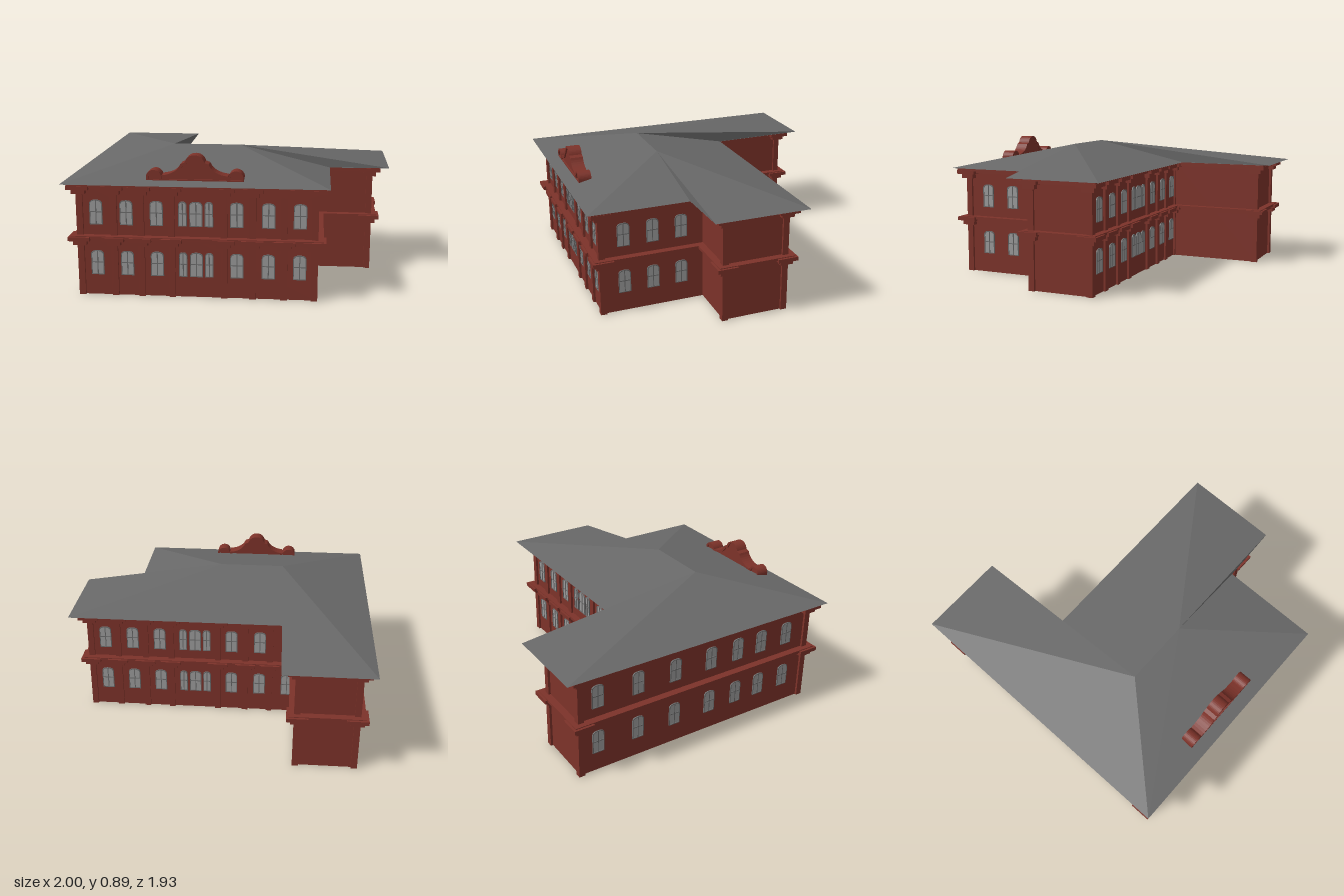
import * as THREE from 'three';

const brick = new THREE.MeshStandardMaterial({ color: 0x7c3229, flatShading: true });
const slate = new THREE.MeshStandardMaterial({ color: 0x686868, flatShading: true, side: THREE.DoubleSide });
const glass = new THREE.MeshStandardMaterial({ color: 0x9a9a9a });
const sash = new THREE.MeshStandardMaterial({ color: 0x6c6c6c });

// Wall footprint [x, z], anticlockwise seen from above, starting at the front
const plan = [[-0.91, 0.87], [0.535, 0.87], [0.535, 0.19], [0.885, 0.19],
  [0.885, -0.225], [-0.53, -0.225], [-0.53, -0.855], [-0.91, -0.855]];

function add(parent, name, geometry, material, x = 0, y = 0, z = 0) {
  const m = new THREE.Mesh(geometry, material);
  m.name = name;
  m.position.set(x, y, z);
  parent.add(m);
  return m;
}

function box(parent, name, w, y0, y1, d, x, z, material = brick) {
  return add(parent, name, new THREE.BoxGeometry(w, y1 - y0, d), material, x, (y0 + y1) / 2, z);
}

// Footprint pushed outwards by d; every edge is axis-aligned
function offsetPlan(d) {
  const n = plan.length;
  return plan.map((p, i) => {
    const a = plan[(i + n - 1) % n], b = plan[(i + 1) % n];
    const out = (s, e) => [-Math.sign(e[1] - s[1]), Math.sign(e[0] - s[0])];
    const u = out(a, p), v = out(p, b);
    return [p[0] + d * (u[0] + v[0]), p[1] + d * (u[1] + v[1])];
  });
}

function slab(parent, name, d, y0, y1) {
  const shape = new THREE.Shape(offsetPlan(d).map(([x, z]) => new THREE.Vector2(x, -z)));
  const g = new THREE.ExtrudeGeometry(shape, { depth: y1 - y0, bevelEnabled: false });
  g.rotateX(-Math.PI / 2);
  return add(parent, name, g, brick, 0, y0, 0);
}

// Window with a shallow arched head, local z = 0 on the wall
function arched(w, h, rise, y = 0, Type = THREE.Shape) {
  const s = new Type();
  s.moveTo(-w / 2, y);
  s.lineTo(w / 2, y);
  s.lineTo(w / 2, y + h - rise);
  s.quadraticCurveTo(w / 2, y + h, 0, y + h);
  s.quadraticCurveTo(-w / 2, y + h, -w / 2, y + h - rise);
  return s;
}

function makeWindow(w) {
  const g = new THREE.Group();
  g.name = 'window';
  const h = 0.155, t = 0.005;
  const opt = depth => ({ depth, bevelEnabled: false, curveSegments: 5 });
  const rim = arched(w, h, 0.025);
  rim.holes.push(arched(w - 2 * t, h - 2 * t, 0.024, t, THREE.Path));
  add(g, 'windowFrame', new THREE.ExtrudeGeometry(rim, opt(0.008)), sash);
  add(g, 'windowPane', new THREE.ExtrudeGeometry(arched(w - t, h - t, 0.025, t / 2), opt(0.003)), glass);
  box(g, 'mullion', 0.006, 0.004, h - 0.003, 0.007, 0, 0.0035, sash);
  box(g, 'transom', w - 0.006, 0.077, 0.083, 0.007, 0, 0.0035, sash);
  return g;
}

// Rows on both floors; local x runs along the wall
function facade(parent, name, turn, x, z, list) {
  const g = new THREE.Group();
  g.name = name;
  for (const y of [0.13, 0.45]) for (const [u, w] of list) {
    const win = makeWindow(w);
    win.position.set(u, y, 0);
    g.add(win);
  }
  g.rotation.y = turn;
  g.position.set(x, 0, z);
  parent.add(g);
}

function pilaster(parent, x, z) {
  const g = new THREE.Group();
  g.name = 'pilaster';
  box(g, 'shaft', 0.04, 0, 0.7, 0.04, 0, 0);
  for (const y of [0.325, 0.645]) {
    box(g, 'capital', 0.085, y, y + 0.03, 0.085, 0, 0);
    box(g, 'capitalPlate', 0.135, y + 0.03, y + 0.055, 0.135, 0, 0);
  }
  g.position.set(x, 0, z);
  parent.add(g);
}

function makeRoof(parent) {
  const e = 0.715, r = 0.86;
  const [A, B, C, D, E, F, G, H] = [[-1, 0.96], [0.615, 0.96], [0.615, 0.305], [1, 0.295],
    [1, -0.33], [-0.42, -0.33], [-0.43, -0.97], [-1, -0.97]].map(([x, z]) => [x, e, z]);
  const P = [-0.405, r, 0.32], Q = [0.03, r, 0.32];
  const tris = [A, B, Q, A, Q, P, B, C, Q, C, D, Q, D, E, Q, E, F, P, E, P, Q, F, G, P, G, H, P, H, A, P];
  const geo = new THREE.BufferGeometry();
  geo.setAttribute('position', new THREE.Float32BufferAttribute(tris.flat(), 3));
  geo.computeVertexNormals();
  add(parent, 'roof', geo, slate);
  // Underside of the eaves
  const s = new THREE.Shape([A, B, C, D, E, F, G, H].map(p => new THREE.Vector2(p[0], -p[2])));
  const under = new THREE.ShapeGeometry(s);
  under.rotateX(-Math.PI / 2);
  add(parent, 'eaves', under, slate, 0, e - 0.001, 0);
}

// Curved gable ornament with a round scroll at each end
function makeGable(parent) {
  const g = new THREE.Group();
  g.name = 'gable';
  const outline = (Type, k) => {
    const s = new Type();
    const X = x => x - Math.sign(x) * k, Y = y => y - k;
    s.moveTo(X(-0.2), k);
    s.lineTo(X(0.2), k);
    s.lineTo(X(0.2), Y(0.035));
    s.quadraticCurveTo(X(0.11), Y(0.045), X(0.085), Y(0.105));
    s.lineTo(X(0.06), Y(0.115));
    s.quadraticCurveTo(X(0.045), Y(0.16), 0, Y(0.16));
    s.quadraticCurveTo(X(-0.045), Y(0.16), X(-0.06), Y(0.115));
    s.lineTo(X(-0.085), Y(0.105));
    s.quadraticCurveTo(X(-0.11), Y(0.045), X(-0.2), Y(0.035));
    return s;
  };
  const arch = (Type, radius, y) => {
    const s = new Type();
    s.moveTo(-radius, y);
    s.lineTo(radius, y);
    s.lineTo(radius, 0.02);
    s.absarc(0, 0.02, radius, 0, Math.PI, false);
    return s;
  };
  const piece = (name, x, shape, hole, panel) => {
    shape.holes.push(hole);
    const opt = depth => ({ depth, bevelEnabled: false, curveSegments: 8 });
    add(g, name, new THREE.ExtrudeGeometry(shape, opt(0.085)), brick, x);
    add(g, name + 'Panel', new THREE.ExtrudeGeometry(panel, opt(0.065)), brick, x, 0, 0.01);
  };
  piece('gableCrest', 0, outline(THREE.Shape, 0), outline(THREE.Path, 0.012), outline(THREE.Shape, 0.011));
  for (const s of [-1, 1]) {
    piece('gableScroll', s * 0.248, arch(THREE.Shape, 0.047, 0), arch(THREE.Path, 0.033, 0.01), arch(THREE.Shape, 0.034, 0.009));
  }
  g.position.set(-0.195, 0.73, 0.792);
  parent.add(g);
}

export function createModel() {
  const model = new THREE.Group();
  model.name = 'building';

  // Walls, belt course and cornice
  slab(model, 'walls', 0, 0, 0.712);
  slab(model, 'beltLower', 0.03, 0.35, 0.367);
  slab(model, 'beltUpper', 0.047, 0.367, 0.385);
  slab(model, 'corniceLower', 0.035, 0.68, 0.697);
  slab(model, 'corniceUpper', 0.06, 0.697, 0.713);

  // Pilasters on the long fronts and at the outer corners
  const bays = [-0.905, -0.695, -0.528, -0.34, -0.02, 0.155, 0.345, 0.53];
  for (const x of bays) pilaster(model, x, 0.865);
  for (const x of bays.slice(1)) pilaster(model, x + 0.35, -0.22);
  for (const [x, z] of [[0.88, 0.185], [-0.535, -0.85], [-0.905, -0.85], [-0.535, -0.22]]) pilaster(model, x, z);

  // Windows: seven bays front and back, plain rows on the sides
  const W = 0.08;
  const row = [[-0.615, W], [-0.428, W], [-0.242, W], [-0.082, 0.052], [0, W], [0.079, 0.052],
    [0.248, W], [0.44, W], [0.63, W]];
  facade(model, 'frontWindows', 0, -0.19, 0.87, row);
  facade(model, 'backWindows', Math.PI, 0.165, -0.225, row);
  facade(model, 'leftWindows', Math.PI / 2, 0.535, 0, [-0.72, -0.53, -0.34].map(u => [u, W]));
  facade(model, 'rightWindows', -Math.PI / 2, -0.91, 0,
    [-0.73, -0.45, -0.18, 0.09, 0.3, 0.49, 0.7].map(u => [u, W]));

  makeRoof(model);
  makeGable(model);
  return model;
}
